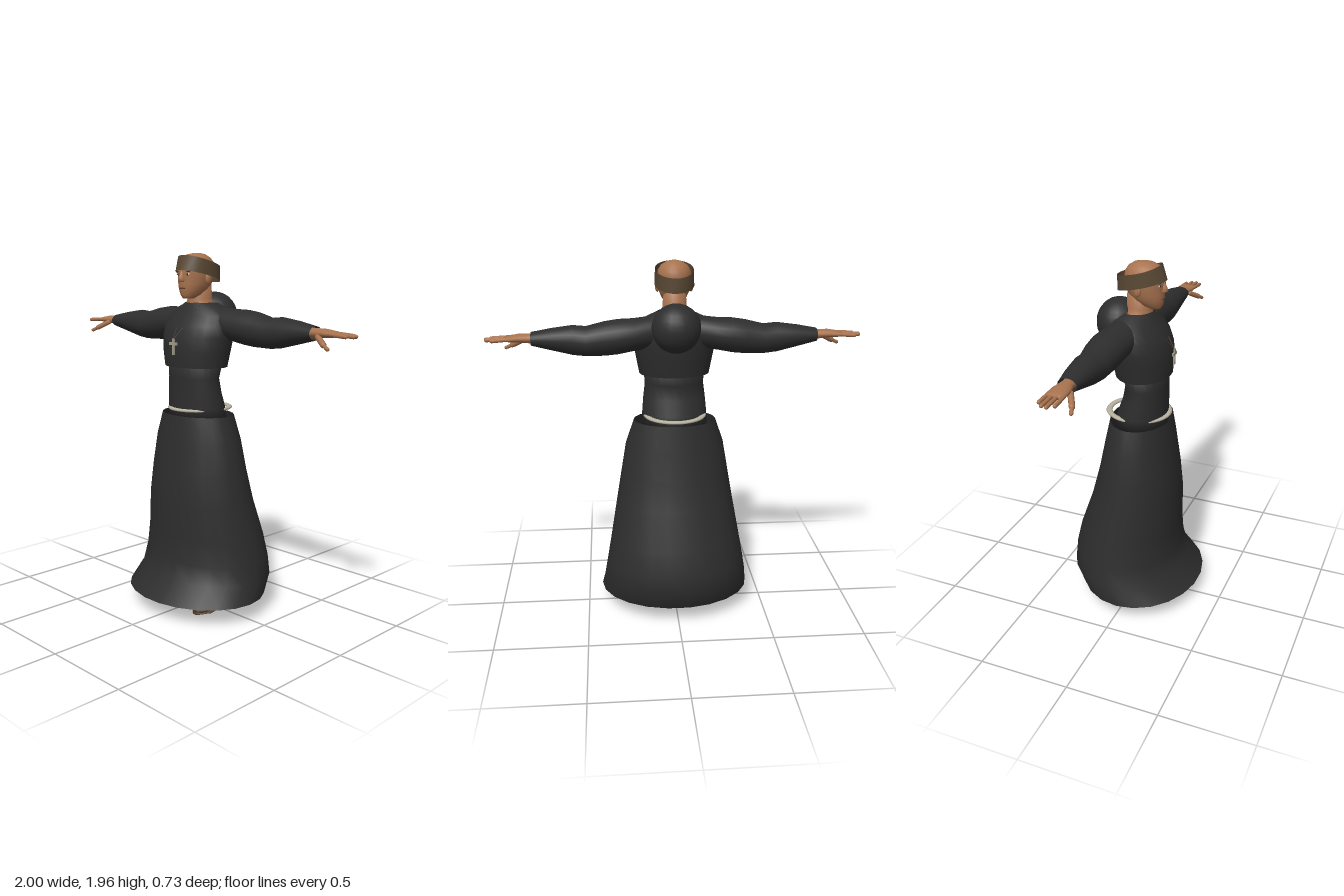
import * as THREE from 'three';

const mat = (name, color, double) => {
  const m = new THREE.MeshStandardMaterial({ color });
  m.name = name;
  if (double) m.side = THREE.DoubleSide;
  return m;
};

// Axis order [u, along, v] for each loft direction
const AXES = { y: [0, 1, 2], x: [2, 0, 1], z: [1, 2, 0] };

// Oval rings [position, uMin, uMax, vMin, vMax] joined along an axis; mirror -1 flips x
function loft(axis, rings, { n = 24, caps = true, mirror = 1 } = {}) {
  const [U, P, V] = AXES[axis], pos = [], idx = [];
  const put = (u, p, v) => {
    const q = [0, 0, 0];
    q[U] = u; q[P] = p; q[V] = v;
    pos.push(q[0] * mirror, q[1], q[2]);
  };
  const tri = (a, b, c) => (mirror > 0 ? idx.push(a, b, c) : idx.push(a, c, b));
  for (const [p, u0, u1, v0, v1] of rings)
    for (let j = 0; j < n; j++) {
      const t = (j / n) * Math.PI * 2;
      put((u0 + u1) / 2 + (u1 - u0) / 2 * Math.cos(t), p, (v0 + v1) / 2 + (v1 - v0) / 2 * Math.sin(t));
    }
  for (let i = 0; i < rings.length - 1; i++)
    for (let j = 0; j < n; j++) {
      const a = i * n + j, b = i * n + (j + 1) % n;
      tri(a, a + n, b + n);
      tri(a, b + n, b);
    }
  if (caps)
    for (const i of [0, rings.length - 1]) {
      const [p, u0, u1, v0, v1] = rings[i], c = pos.length / 3;
      put((u0 + u1) / 2, p, (v0 + v1) / 2);
      for (let j = 0; j < n; j++) {
        const a = i * n + j, b = i * n + (j + 1) % n;
        i ? tri(c, b, a) : tri(c, a, b);
      }
    }
  const g = new THREE.BufferGeometry();
  g.setAttribute('position', new THREE.Float32BufferAttribute(pos, 3));
  g.setIndex(idx);
  g.computeVertexNormals();
  return g;
}

export function createModel() {
  const model = new THREE.Group();
  model.name = 'robedMan';
  const robe = mat('black cloth', 0x2d2d2d, true);
  const skin = mat('skin', 0xa8734f);
  const hair = mat('brown hair', 0x584733, true);
  const leather = mat('shoe leather', 0x5b4833);
  const rope = mat('pale rope', 0xb9b3a0);
  const metal = mat('cross metal', 0xa39c88);
  const cord = mat('dark cord', 0x3a3028);
  const lip = mat('lips', 0x7c4c37);
  const white = mat('eye white', 0xc9c0b2);

  const add = (name, geo, material, parent = model) => {
    const m = new THREE.Mesh(geo, material);
    m.name = name;
    parent.add(m);
    return m;
  };
  const ball = (name, material, p, s) => {
    const m = add(name, new THREE.SphereGeometry(1, 20, 14), material);
    m.position.set(...p);
    m.scale.set(...s);
    return m;
  };
  // Rounded rod between two points
  const rod = (name, material, p, q, r) => {
    const a = new THREE.Vector3(...p), b = new THREE.Vector3(...q), d = b.clone().sub(a);
    const m = add(name, new THREE.CapsuleGeometry(r, d.length(), 4, 8), material);
    m.position.copy(a).lerp(b, 0.5);
    m.quaternion.setFromUnitVectors(new THREE.Vector3(0, 1, 0), d.normalize());
    return m;
  };

  // Robe: open skirt, waist, chest
  add('skirt', loft('y', [
    [0.10, -0.42, 0.42, -0.32, 0.365], [0.20, -0.403, 0.403, -0.37, 0.27],
    [0.30, -0.386, 0.386, -0.36, 0.24], [0.43, -0.363, 0.363, -0.33, 0.23],
    [0.63, -0.328, 0.328, -0.26, 0.232], [0.80, -0.299, 0.299, -0.215, 0.215],
    [0.97, -0.27, 0.27, -0.18, 0.19], [1.10, -0.225, 0.225, -0.155, 0.172],
  ], { n: 22, caps: false }), robe);
  add('waist', loft('y', [
    [1.07, -0.18, 0.18, -0.13, 0.15], [1.14, -0.177, 0.177, -0.115, 0.15],
    [1.22, -0.17, 0.17, -0.085, 0.15], [1.30, -0.16, 0.16, -0.07, 0.15],
    [1.42, -0.17, 0.17, -0.11, 0.155],
  ]), robe);
  add('chest', loft('y', [
    [1.36, -0.19, 0.19, -0.125, 0.17], [1.44, -0.205, 0.205, -0.14, 0.175],
    [1.52, -0.22, 0.22, -0.15, 0.168], [1.58, -0.222, 0.222, -0.155, 0.145],
    [1.63, -0.205, 0.205, -0.15, 0.11], [1.67, -0.16, 0.16, -0.135, 0.083],
    [1.70, -0.092, 0.092, -0.10, 0.064],
  ], { caps: false }), robe);
  ball('hood', robe, [0, 1.625, -0.12], [0.13, 0.13, 0.12]);

  // Rope belt
  const belt = add('belt', new THREE.TorusGeometry(0.165, 0.017, 8, 36), rope);
  belt.rotation.x = Math.PI / 2;
  belt.scale.set(0.95, 1, 0.5);
  belt.position.set(0, 1.13, -0.008);

  // Neck and head
  add('neck', loft('y', [
    [1.65, -0.1, 0.1, -0.1, 0.075], [1.69, -0.082, 0.082, -0.088, 0.066],
    [1.72, -0.064, 0.064, -0.075, 0.062], [1.80, -0.06, 0.06, -0.07, 0.06],
  ]), skin);
  add('head', loft('y', [
    [1.722, -0.025, 0.025, 0.05, 0.11], [1.74, -0.05, 0.05, -0.005, 0.121],
    [1.77, -0.069, 0.069, -0.045, 0.126], [1.80, -0.081, 0.081, -0.066, 0.128],
    [1.84, -0.088, 0.088, -0.08, 0.127], [1.88, -0.091, 0.091, -0.084, 0.132],
    [1.91, -0.086, 0.086, -0.08, 0.125], [1.935, -0.07, 0.07, -0.063, 0.107],
    [1.953, -0.042, 0.042, -0.035, 0.075], [1.96, -0.015, 0.015, -0.005, 0.035],
  ]), skin);
  add('nose', loft('y', [
    [1.808, -0.014, 0.014, 0.10, 0.137], [1.818, -0.02, 0.02, 0.10, 0.151],
    [1.835, -0.013, 0.013, 0.10, 0.145], [1.865, -0.01, 0.01, 0.10, 0.131],
  ], { n: 10 }), skin);
  ball('mouth', lip, [0, 1.778, 0.124], [0.027, 0.006, 0.005]);

  // Tilted ring of hair, standing off the head at the back
  const band = new THREE.CylinderGeometry(1, 1, 1, 28, 1, true);
  const bp = band.attributes.position;
  for (let i = 0; i < bp.count; i++) {
    const f = bp.getZ(i), up = bp.getY(i) > 0, inset = up ? 0.03 * Math.max(f, 0) : 0;
    bp.setXYZ(i, bp.getX(i) * (up ? 0.102 : 0.105), 1.838 + 0.033 * f + (up ? 0.078 : 0), 0.008 + f * (0.132 - inset));
  }
  band.computeVertexNormals();
  add('hairRing', band, hair);

  // Cross
  const bar = (name, w, h, y) => add(name, new THREE.BoxGeometry(w, h, 0.009), metal).position.set(0, y, 0.19);
  bar('crossUpright', 0.013, 0.085, 1.472);
  bar('crossArm', 0.056, 0.014, 1.488);

  for (const s of [1, -1]) {
    const side = s > 0 ? 'left' : 'right';
    const opt = { mirror: s };

    // Face details
    ball(side + 'Ear', skin, [s * 0.09, 1.828, 0.018], [0.012, 0.032, 0.02]);
    ball(side + 'Eye', white, [s * 0.036, 1.849, 0.117], [0.014, 0.006, 0.004]);
    ball(side + 'Pupil', cord, [s * 0.036, 1.849, 0.12], [0.006, 0.006, 0.003]);
    ball(side + 'Brow', hair, [s * 0.038, 1.865, 0.118], [0.022, 0.005, 0.006]).rotation.z = s * 0.1;

    // Necklace strand
    rod(side + 'Cord', cord, [s * 0.066, 1.685, 0.06], [s * 0.002, 1.512, 0.187], 0.003);

    // Sleeve
    add(side + 'Sleeve', loft('x', [
      [0.12, -0.13, 0.05, 1.51, 1.68], [0.22, -0.155, 0.045, 1.50, 1.67],
      [0.30, -0.16, 0.04, 1.485, 1.668], [0.37, -0.155, 0.035, 1.478, 1.658],
      [0.47, -0.14, 0.026, 1.476, 1.633], [0.54, -0.135, 0.02, 1.484, 1.64],
      [0.65, -0.12, 0.01, 1.51, 1.625], [0.755, -0.10, 0.0, 1.535, 1.605],
    ], { mirror: s, caps: false }), robe);

    // Hand with fingers and thumb
    add(side + 'Palm', loft('x', [
      [0.62, -0.085, -0.02, 1.54, 1.60], [0.76, -0.085, -0.015, 1.547, 1.597],
      [0.82, -0.094, 0.002, 1.552, 1.596], [0.87, -0.097, 0.003, 1.556, 1.588],
      [0.895, -0.092, -0.005, 1.56, 1.582],
    ], { n: 14, mirror: s }), skin);
    [[-0.083, 0.955], [-0.058, 0.985], [-0.033, 0.99], [-0.006, 0.965]].forEach(([z, x], i) =>
      rod(side + 'Finger' + i, skin, [s * 0.87, 1.573, z], [s * x, 1.567, z * 1.08 + 0.004], 0.01));
    rod(side + 'Thumb', skin, [s * 0.80, 1.558, -0.01], [s * 0.86, 1.525, 0.025], 0.015);
    rod(side + 'ThumbTip', skin, [s * 0.86, 1.525, 0.025], [s * 0.895, 1.508, 0.038], 0.01);

    // Leg and shoe
    add(side + 'Leg', loft('y', [
      [0.04, 0.105, 0.17, -0.115, -0.03], [0.12, 0.105, 0.165, -0.11, -0.04],
      [0.30, 0.085, 0.175, -0.13, -0.02], [0.48, 0.075, 0.17, -0.10, 0.0],
      [0.80, 0.03, 0.18, -0.09, 0.08],
    ], { n: 14, ...opt }), skin);
    add(side + 'Shoe', loft('z', [
      [-0.125, 0.012, 0.055, 0.115, 0.16], [-0.10, 0.008, 0.07, 0.10, 0.172],
      [-0.03, 0.008, 0.075, 0.095, 0.178], [0.04, 0.008, 0.068, 0.085, 0.192],
      [0.10, 0.008, 0.058, 0.082, 0.202], [0.15, 0.01, 0.05, 0.095, 0.19],
      [0.17, 0.016, 0.038, 0.12, 0.165],
    ], { n: 16, ...opt }), leather);
    add(side + 'Sole', loft('z', [
      [-0.122, 0, 0.02, 0.115, 0.16], [-0.04, 0, 0.02, 0.095, 0.178],
      [0.10, 0, 0.02, 0.082, 0.204], [0.168, 0, 0.02, 0.12, 0.165],
    ], { n: 12, ...opt }), leather);
  }
  return model;
}
